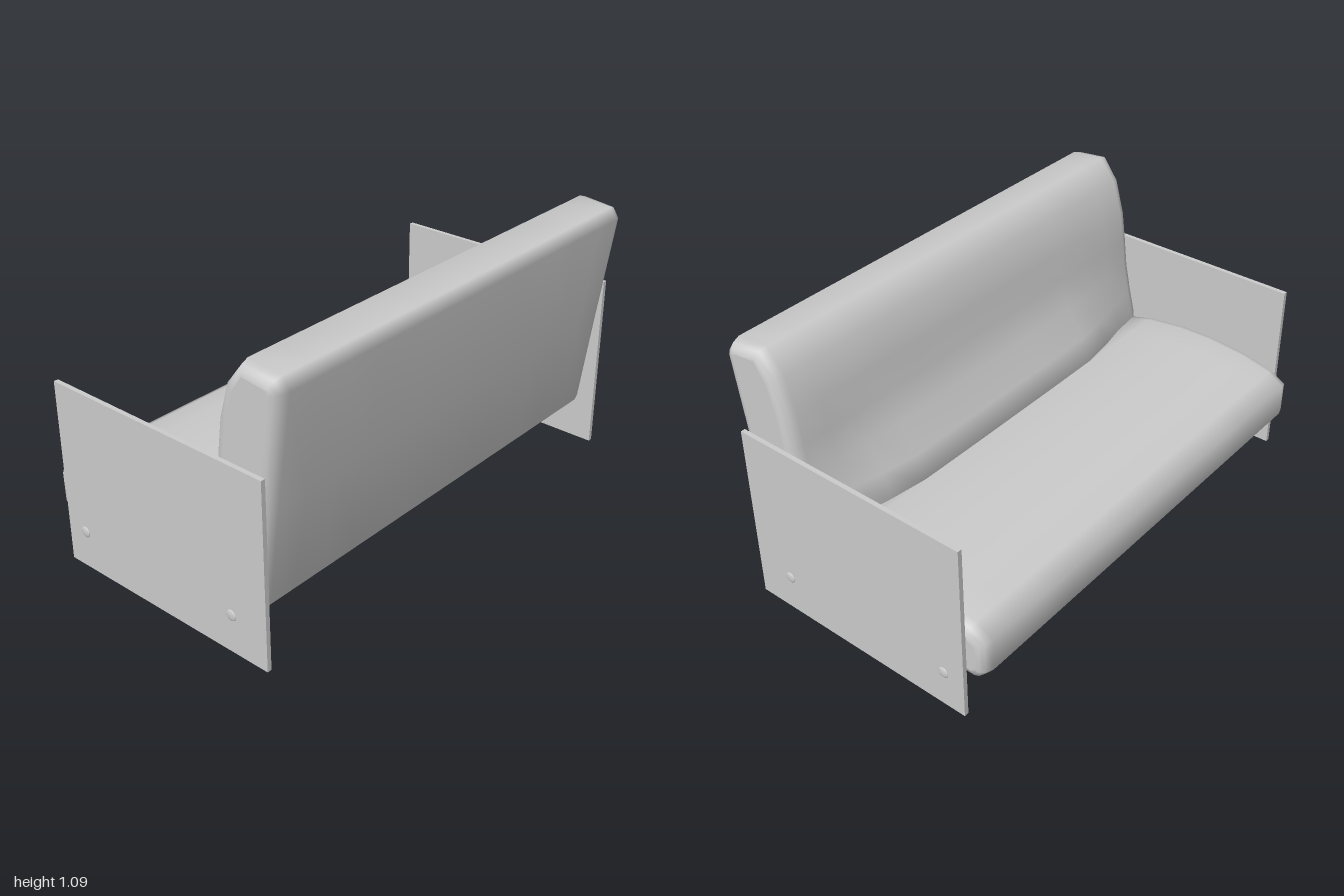
import * as THREE from 'three';

const grey = new THREE.MeshStandardMaterial({ color: 0xcccccc });

function add(group, name, geo, x = 0, y = 0, z = 0) {
  const mesh = new THREE.Mesh(geo, grey);
  mesh.name = name;
  mesh.position.set(x, y, z);
  group.add(mesh);
  return mesh;
}

// Shrinks a [z, y] outline inwards by d along its corner normals
function inset(profile, d) {
  const n = profile.length;
  return profile.map(([z, y], i) => {
    const a = profile[(i + n - 1) % n], b = profile[(i + 1) % n];
    const n1 = new THREE.Vector2(y - a[1], a[0] - z).normalize();
    const n2 = new THREE.Vector2(b[1] - y, z - b[0]).normalize();
    const m = n1.add(n2).normalize();
    return [z - m.x * d, y - m.y * d];
  });
}

// Cushion lofted along x, with rounded-over ends and an optional bulge rule
function cushion(profile, bulge = () => 0) {
  const half = [[0.97, 0.045], [0.966, 0.026], [0.95, 0.01], [0.92, 0], [0.8, 0], [0.65, 0], [0.5, 0], [0.25, 0]];
  const sections = [
    ...half.map(([x, d]) => [-x, d]), [0, 0],
    ...half.map(([x, d]) => [x, d]).reverse(),
  ];
  const pos = [], index = [], n = profile.length;
  const ring = ([x, d]) => {
    const start = pos.length / 3;
    inset(profile, d).forEach(([z, y]) => pos.push(x, y, z - bulge(x, y, z)));
    return start;
  };
  const starts = sections.map(ring);
  for (let s = 0; s < starts.length - 1; s++) {
    for (let i = 0; i < n; i++) {
      const j = (i + 1) % n, a = starts[s], b = starts[s + 1];
      index.push(a + i, b + i, a + j, b + i, b + j, a + j);
    }
  }
  // Flat end caps
  for (const end of [sections[0], sections[sections.length - 1]]) {
    const start = ring(end), centre = pos.length / 3;
    const c = [0, 0];
    profile.forEach(([z, y]) => { c[0] += z / n; c[1] += y / n; });
    pos.push(end[0], c[1], c[0]);
    for (let i = 0; i < n; i++) {
      const j = (i + 1) % n;
      if (end[0] > 0) index.push(centre, start + j, start + i);
      else index.push(centre, start + i, start + j);
    }
  }
  const geo = new THREE.BufferGeometry();
  geo.setAttribute('position', new THREE.Float32BufferAttribute(pos, 3));
  geo.setIndex(index);
  geo.computeVertexNormals();
  return geo;
}

export function createModel() {
  const sofa = new THREE.Group();
  sofa.name = 'sofa';

  // Seat cushion: gently domed with a rolled front edge
  add(sofa, 'seatCushion', cushion([
    [0.25, 0.37], [0.11, 0.41], [-0.05, 0.43], [-0.2, 0.432], [-0.36, 0.417], [-0.49, 0.387],
    [-0.56, 0.345], [-0.56, 0.21], [-0.525, 0.168], [-0.4, 0.166], [0.22, 0.166], [0.28, 0.21],
  ]));

  // Backrest: leaning back, with a lumbar bulge that fades towards the ends
  const lumbar = (x, y, z) => {
    if (z > 0.3 || y > 0.74 || y < 0.25) return 0;
    const across = 1 - THREE.MathUtils.smoothstep(Math.abs(x), 0.45, 0.95);
    return 0.09 * across * THREE.MathUtils.smoothstep(0.74 - y, 0, 0.34);
  };
  add(sofa, 'backrest', cushion([
    [0.56, 1.03], [0.53, 1.075], [0.39, 1.09], [0.32, 1.0], [0.28, 0.86], [0.264, 0.74],
    [0.25, 0.62], [0.225, 0.5], [0.2, 0.4], [0.19, 0.23], [0.23, 0.175], [0.4, 0.166],
    [0.447, 0.205], [0.5, 0.6],
  ], lumbar));

  // Long rails under the cushions
  for (const z of [-0.4, 0.34]) {
    add(sofa, 'longRail', new THREE.BoxGeometry(1.95, 0.014, 0.04), 0, 0.158, z);
    add(sofa, 'longRailLip', new THREE.BoxGeometry(1.89, 0.012, 0.008), 0, 0.153, z - Math.sign(z) * 0.016);
  }

  for (const side of [-1, 1]) {
    // Flat side panels that also serve as legs
    add(sofa, 'sidePanel', new THREE.BoxGeometry(0.018, 0.735, 0.99), side * 0.985, 0.3675, 0.005);

    // Angle brackets joining the rails to each panel
    add(sofa, 'endBracket', new THREE.BoxGeometry(0.032, 0.01, 0.8), side * 0.96, 0.146, -0.03);
    add(sofa, 'endBracketLip', new THREE.BoxGeometry(0.008, 0.034, 0.8), side * 0.972, 0.148, -0.03);

    // Low domed bolt heads
    for (const z of [-0.4, 0.34]) {
      const head = new THREE.SphereGeometry(0.022, 16, 6, 0, Math.PI * 2, 0, Math.PI / 2);
      head.scale(1, 0.28, 1);
      head.rotateZ(-side * Math.PI / 2);
      add(sofa, 'boltHead', head, side * 0.994, 0.152, z);
    }
  }
  return sofa;
}
